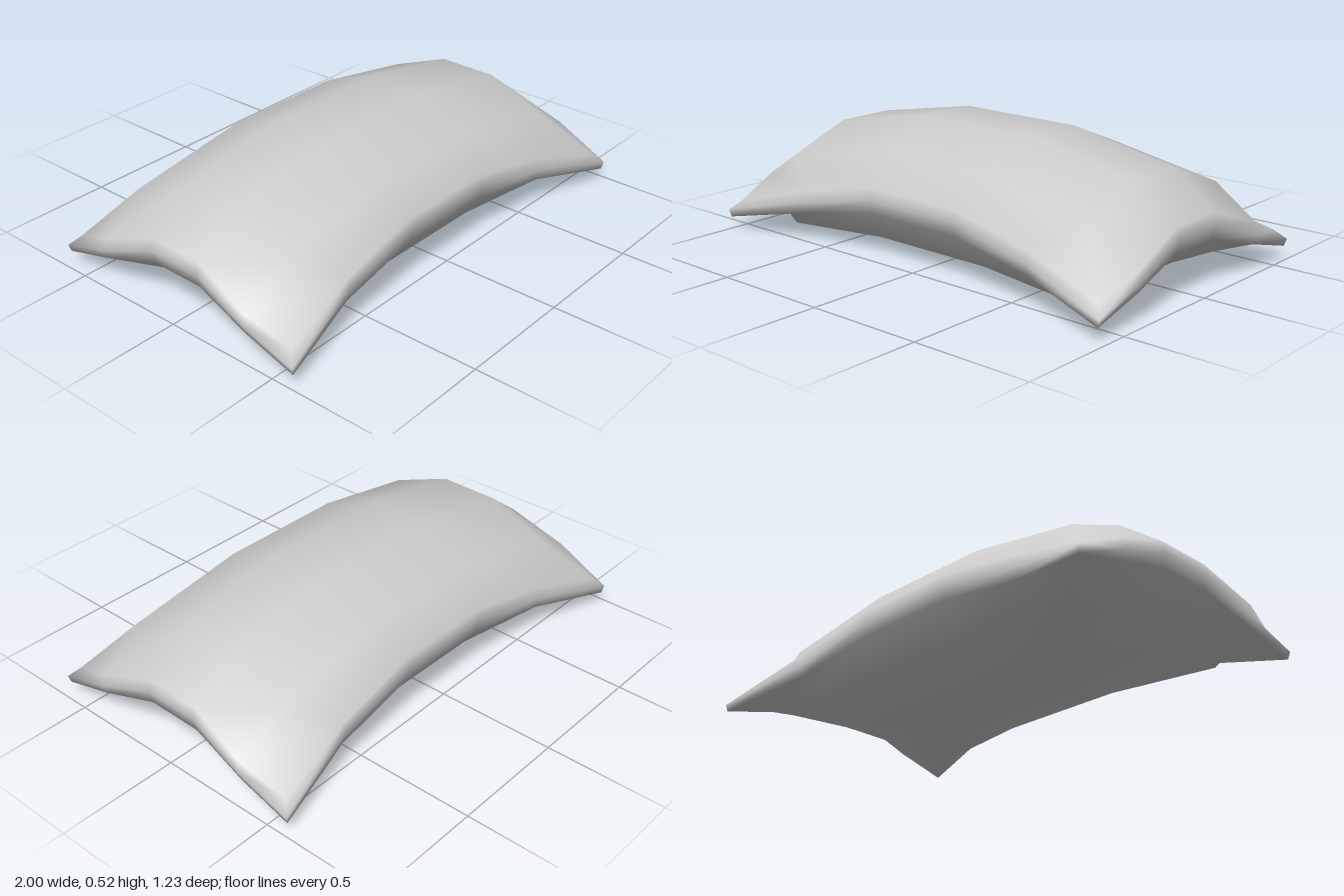
import * as THREE from 'three';
import { mergeVertices } from 'three/addons/utils/BufferGeometryUtils.js';

// One quarter of each sheet as [x, y, z]; rows run outward along x, columns outward along z
const TOP = [
  [[0.28, 0.52, 0.13], [0.28, 0.42, 0.38], [0.22, 0.295, 0.495]],
  [[0.78, 0.43, 0.13], [0.78, 0.325, 0.4], [0.6, 0.22, 0.515]],
  [[0.96, 0.295, 0.12], [0.985, 0.205, 0.37], [0.95, 0.125, 0.565]],
];
const BOTTOM = [
  [[0.28, 0, 0.13], [0.28, 0.06, 0.39], [0.22, 0.19, 0.49]],
  [[0.77, 0.055, 0.13], [0.77, 0.03, 0.42], [0.6, 0.125, 0.51]],
  [[0.955, 0.19, 0.12], [0.975, 0.115, 0.37], [0.98, 0.055, 0.6]],
];
// Only the border of this layer is used: the outermost line of the rim
const RIM = [
  [null, null, [0.22, 0.245, 0.5]],
  [null, null, [0.6, 0.17, 0.52]],
  [[0.97, 0.245, 0.12], [0.99, 0.155, 0.37], [0.99, 0.085, 0.605]],
];

// Mirrors a quarter to a 6 x 6 grid, with a slight twist of the cloth
function corner(layer, i, j) {
  const quarter = (n) => (n > 2 ? n - 3 : 2 - n);
  const [x, y, z] = layer[quarter(i)][quarter(j)];
  const sx = i > 2 ? 1 : -1;
  const sz = j > 2 ? 1 : -1;
  const twist = 0.01 * sx * sz;
  return [sx * (x - twist * (z / 0.605)), y, sz * (z + twist * x)];
}

function cushionGeometry() {
  const positions = [];
  const quad = (a, b, c, d) => positions.push(...a, ...b, ...c, ...a, ...c, ...d);

  // Upper and lower sheets
  for (let i = 0; i < 5; i++) {
    for (let j = 0; j < 5; j++) {
      quad(corner(TOP, i, j), corner(TOP, i, j + 1), corner(TOP, i + 1, j + 1), corner(TOP, i + 1, j));
      quad(corner(BOTTOM, i, j), corner(BOTTOM, i + 1, j), corner(BOTTOM, i + 1, j + 1), corner(BOTTOM, i, j + 1));
    }
  }

  // Rounded rim around all four sides
  for (const [low, high] of [[BOTTOM, RIM], [RIM, TOP]]) {
    const wall = (i0, j0, i1, j1) =>
      quad(corner(low, i0, j0), corner(low, i1, j1), corner(high, i1, j1), corner(high, i0, j0));
    for (let k = 0; k < 5; k++) {
      wall(k, 5, k + 1, 5);
      wall(5, 5 - k, 5, 4 - k);
      wall(5 - k, 0, 4 - k, 0);
      wall(0, k, 0, k + 1);
    }
  }

  const geometry = new THREE.BufferGeometry();
  geometry.setAttribute('position', new THREE.Float32BufferAttribute(positions, 3));
  const welded = mergeVertices(geometry, 1e-4);
  welded.computeVertexNormals();
  return welded;
}

export function createModel() {
  const group = new THREE.Group();
  group.name = 'pillow';
  const cushion = new THREE.Mesh(cushionGeometry(), new THREE.MeshStandardMaterial({ color: 0xcccccc }));
  cushion.name = 'cushion';
  group.add(cushion);
  return group;
}
